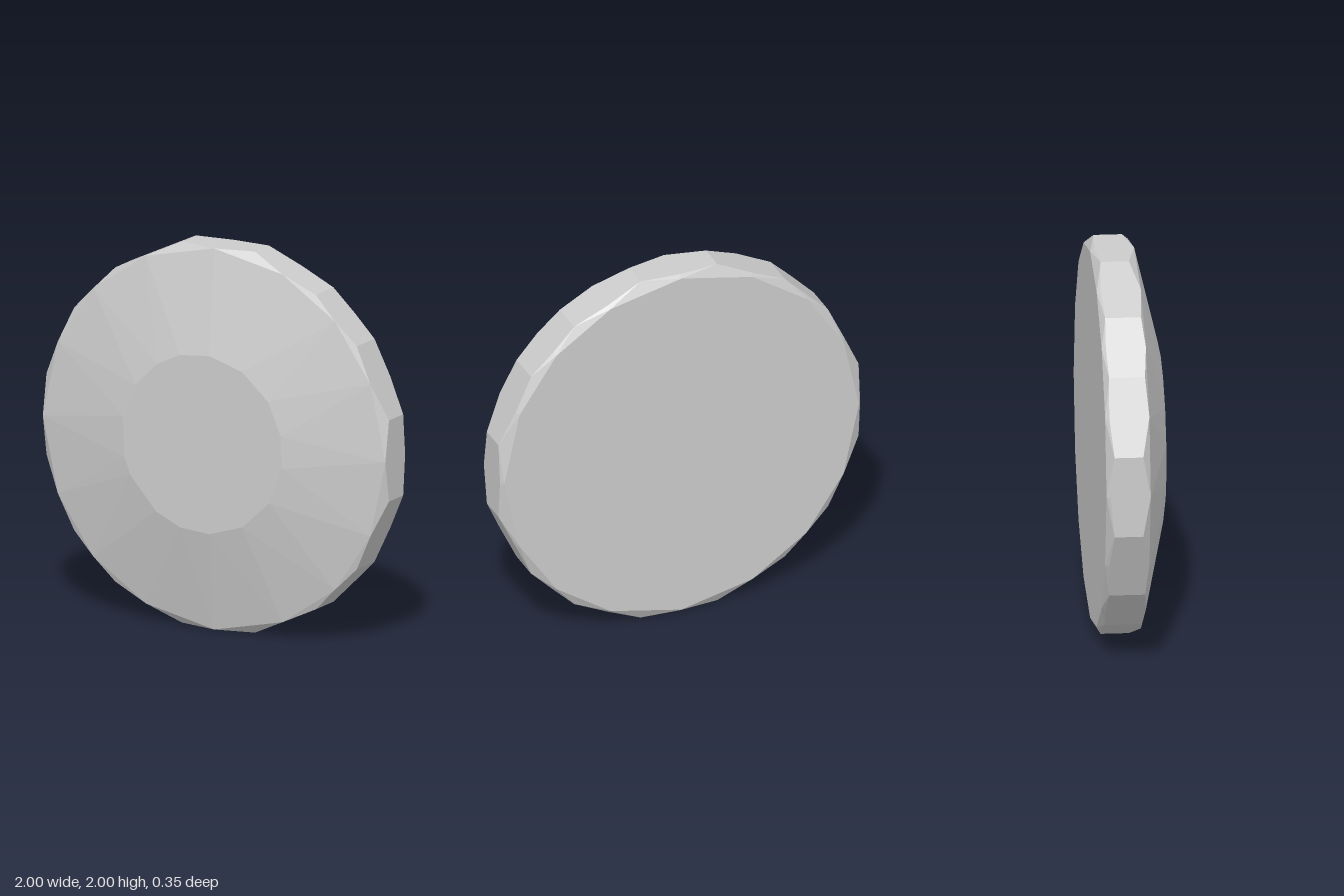
import * as THREE from 'three';
import { ConvexGeometry } from 'three/addons/geometries/ConvexGeometry.js';

export function createModel() {
  const group = new THREE.Group();
  const grey = new THREE.MeshStandardMaterial({ color: 0xcccccc });
  grey.name = 'plain grey';
  const points = [];
  const add = (x, y, z) => points.push(new THREE.Vector3(x, 1 + y, z));

  // Sixteen rim corners: one quadrant [x, y, front z, back z], mirrored
  const quadrant = [
    [1, 0.213, 0.012, -0.135],
    [0.825, 0.585, 0.035, -0.148],
    [0.585, 0.825, 0.035, -0.148],
    [0.213, 1, 0.005, -0.14],
  ];
  const mirror = (fx, fy, list) => list.map(([x, y, f, b]) => [x * fx, y * fy, f, b]);
  const rim = [
    ...quadrant,
    ...mirror(-1, 1, quadrant).reverse(),
    ...mirror(-1, -1, quadrant),
    ...mirror(1, -1, quadrant).reverse(),
  ];
  rim.forEach(([x, y, front, back], i) => {
    add(x, y, front);
    add(x, y, back);
    // Bevel points at the middle of each rim side, and the flat back's outline
    const next = rim[(i + 1) % rim.length];
    const mx = (x + next[0]) / 2, my = (y + next[1]) / 2;
    add(mx, my, 0.05);
    add(mx, my, -0.155);
    add(mx * 0.985, my * 0.985, -0.175);
  });

  // Slightly uneven outline of the raised flat front, as angles in degrees
  const face = [-165, -153, -125, -106, -85, -60, -34, -9, 12, 35, 60, 85, 106, 124, 146, 169];
  for (const degrees of face) {
    const a = THREE.MathUtils.degToRad(degrees);
    add(0.47 * Math.cos(a), 0.47 * Math.sin(a), 0.175);
  }

  const disc = new THREE.Mesh(new ConvexGeometry(points), grey);
  disc.name = 'facetedDisc';
  group.add(disc);
  return group;
}
